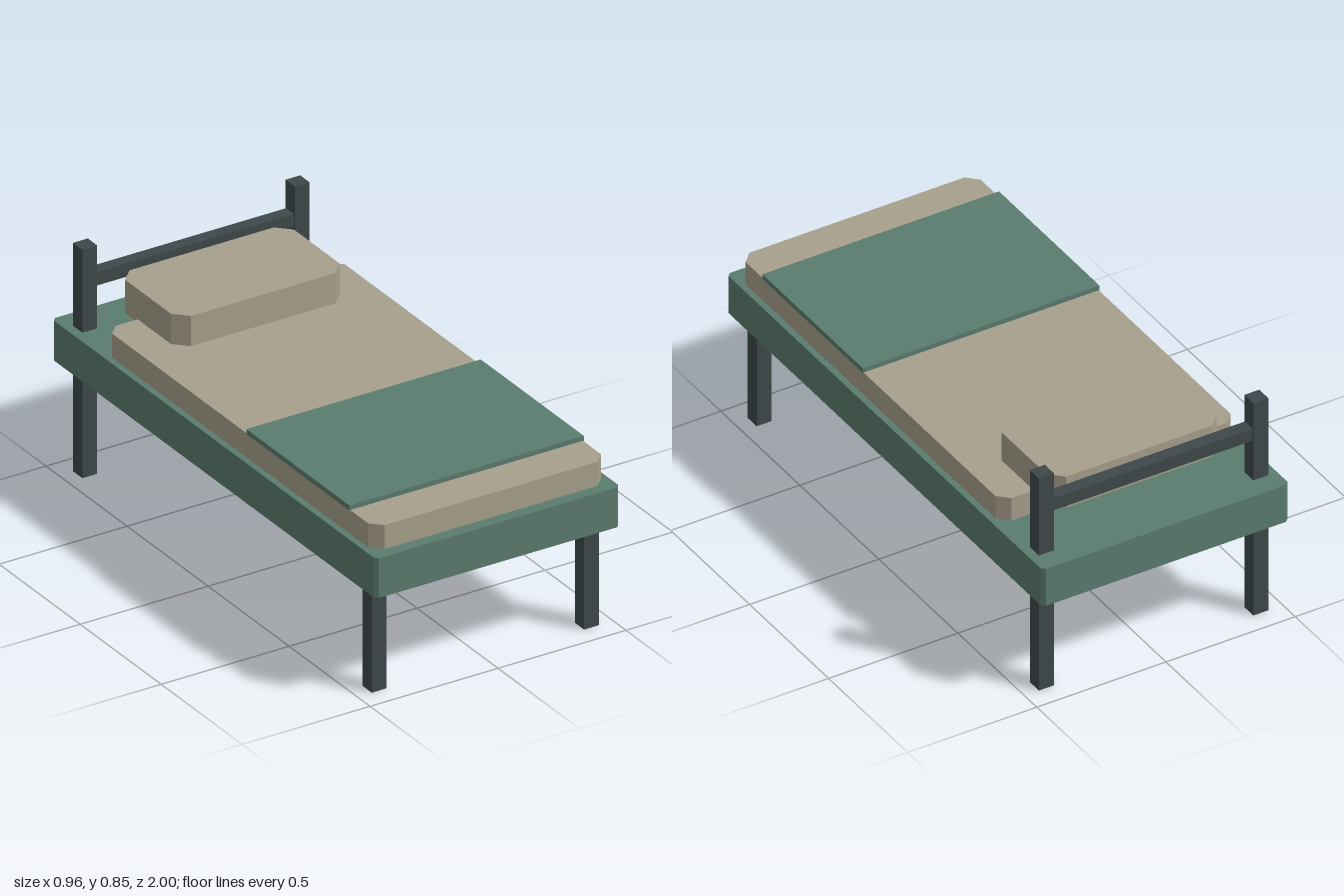
import * as THREE from 'three';

const material = (color) => new THREE.MeshStandardMaterial({ color, flatShading: true });

export function createModel() {
  const bed = new THREE.Group();
  bed.name = 'bed';
  const green = material(0x5b7c6f);
  const tan = material(0xa8a08c);
  const dark = material(0x3e484a);

  const add = (name, geometry, mat) => {
    const mesh = new THREE.Mesh(geometry, mat);
    mesh.name = name;
    bed.add(mesh);
    return mesh;
  };

  // Plain block spanning y0..y1, centred on x and z
  const block = (name, w, d, y0, y1, x, z, mat) =>
    add(name, new THREE.BoxGeometry(w, y1 - y0, d), mat).position.set(x, (y0 + y1) / 2, z);

  // Slab with its four upright corners cut off by c
  const slab = (name, hw, z0, z1, y0, y1, c, mat) => {
    const hd = (z1 - z0) / 2;
    const outline = new THREE.Shape([
      [hw - c, -hd], [hw, c - hd], [hw, hd - c], [hw - c, hd],
      [c - hw, hd], [-hw, hd - c], [-hw, c - hd], [c - hw, -hd],
    ].map(([x, y]) => new THREE.Vector2(x, y)));
    const geometry = new THREE.ExtrudeGeometry(outline, { depth: y1 - y0, bevelEnabled: false });
    geometry.rotateX(-Math.PI / 2);
    add(name, geometry, mat).position.set(0, y0, (z0 + z1) / 2);
  };

  // Base and bedding
  slab('bedBase', 0.478, -1, 1, 0.395, 0.544, 0.013, green);
  slab('mattress', 0.455, -0.703, 0.956, 0.544, 0.634, 0.039, tan);
  slab('pillow', 0.33, -0.829, -0.449, 0.622, 0.747, 0.048, tan);
  block('blanket', 0.916, 0.636, 0.633, 0.652, 0, 0.488, green);

  // Front legs and tall rear posts
  for (const [side, x] of [['left', 0.415], ['right', -0.415]]) {
    block(side + 'FrontLeg', 0.058, 0.058, 0, 0.4, x, 0.893, dark);
    block(side + 'RearPost', 0.058, 0.058, 0, 0.854, x, -0.893, dark);
  }

  // Headboard rail between the posts
  block('headRail', 0.8, 0.048, 0.701, 0.75, 0, -0.893, dark);

  return bed;
}
